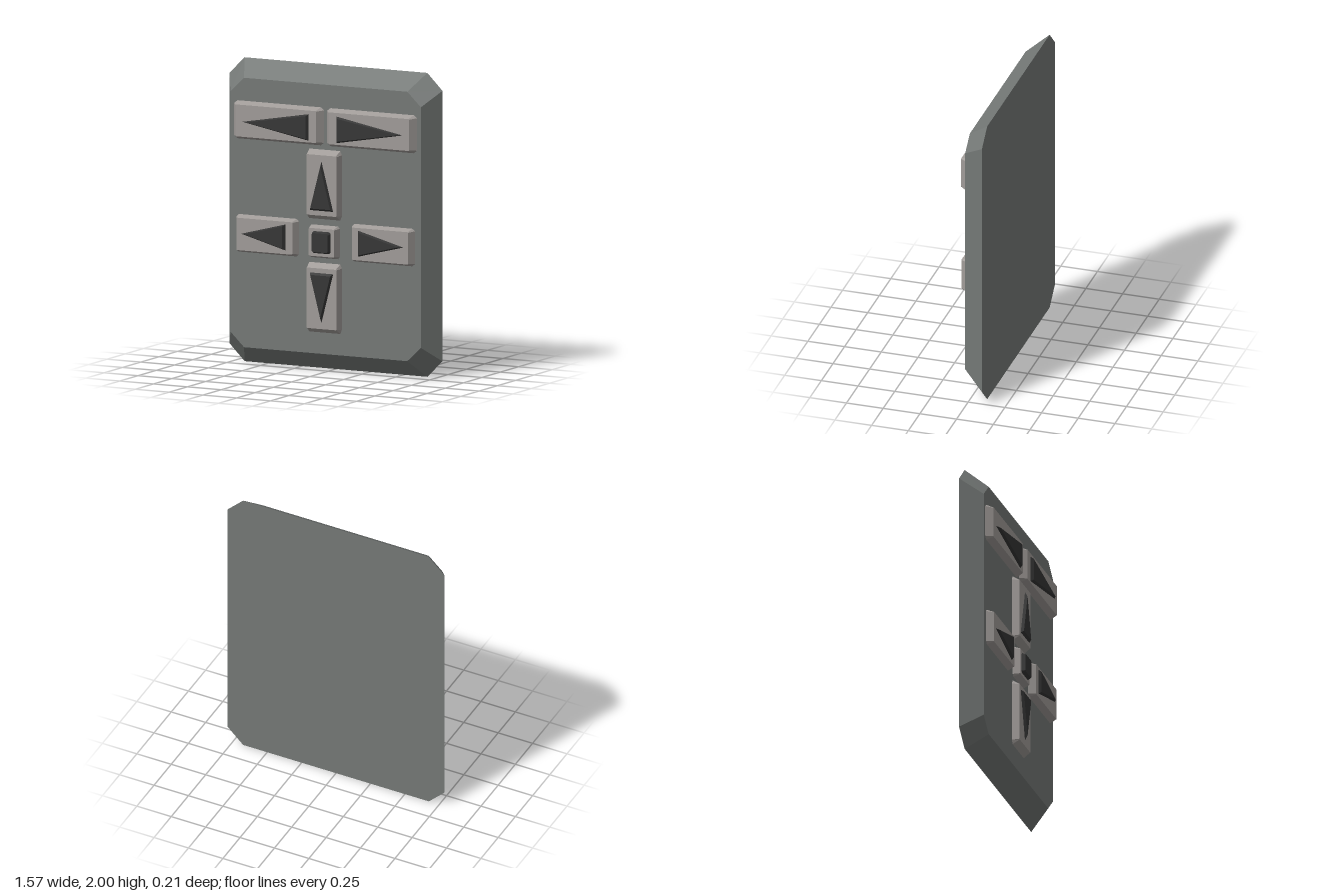
import * as THREE from 'three';

const paint = (color) => new THREE.MeshStandardMaterial({ color, flatShading: true });

// Rectangle with cut corners, counter-clockwise
function octagon(x0, x1, y0, y1, cx, cy) {
  return [
    [x0 + cx, y0], [x1 - cx, y0], [x1, y0 + cy], [x1, y1 - cy],
    [x1 - cx, y1], [x0 + cx, y1], [x0, y1 - cy], [x0, y0 + cy],
  ];
}

// Solid joining a rear outline to a front outline with flat facets
function bevelled(name, rear, front, z0, z1, material) {
  const pos = [];
  const n = rear.length;
  const B = (i) => [...rear[i % n], z0];
  const F = (i) => [...front[i % n], z1];
  for (let i = 0; i < n; i++) {
    pos.push(...B(i), ...B(i + 1), ...F(i + 1), ...B(i), ...F(i + 1), ...F(i));
    if (i > 0 && i < n - 1) {
      pos.push(...F(0), ...F(i), ...F(i + 1), ...B(0), ...B(i + 1), ...B(i));
    }
  }
  const geo = new THREE.BufferGeometry();
  geo.setAttribute('position', new THREE.Float32BufferAttribute(pos, 3));
  geo.computeVertexNormals();
  const mesh = new THREE.Mesh(geo, material);
  mesh.name = name;
  return mesh;
}

export function createModel() {
  const model = new THREE.Group();
  model.name = 'controlPanel';
  const bodyMat = paint(0x747876);
  const keyMat = paint(0xa09b98);
  const darkMat = paint(0x353535);
  const FACE = 0.035, KEY = 0.082, TOP = 0.1;

  // Back plate with wide bevels
  model.add(bevelled('panel',
    octagon(-0.787, 0.787, 0, 2, 0.112, 0.11),
    octagon(-0.703, 0.703, 0.117, 1.89, 0.1, 0.095),
    -0.106, FACE, bodyMat));

  // Keys: outer bounds, inset of the raised face, arrow direction, tip and base
  const midX = -0.006;
  const keys = [
    { name: 'topLeft', box: [0.01, 0.677, 1.488, 1.74], inset: [0.036, 0.021], dir: [1, 0], at: [0.105, 1.608], len: 0.49, half: 0.088 },
    { name: 'topRight', box: [-0.677, -0.01, 1.488, 1.74], inset: [0.036, 0.021], dir: [-1, 0], at: [-0.1, 1.608], len: 0.493, half: 0.088 },
    { name: 'up', box: [-0.132, 0.12, 1.003, 1.463], inset: [0.016, 0.031], dir: [0, 1], at: [midX, 1.065], len: 0.328, half: 0.087 },
    { name: 'down', box: [-0.132, 0.12, 0.257, 0.717], inset: [0.016, 0.031], dir: [0, -1], at: [midX, 0.656], len: 0.33, half: 0.087 },
    { name: 'left', box: [0.195, 0.66, 0.743, 0.992], inset: [0.026, 0.018], dir: [1, 0], at: [0.265, 0.871], len: 0.335, half: 0.086 },
    { name: 'right', box: [-0.66, -0.195, 0.743, 0.992], inset: [0.026, 0.018], dir: [-1, 0], at: [-0.272, 0.871], len: 0.328, half: 0.086 },
    { name: 'centre', box: [-0.117, 0.105, 0.748, 0.965], inset: [0.017, 0.017] },
  ];

  // Triangle pointing along dir, its base centred on at
  const triangle = ([dx, dy], [x, y], base, len, half) => [
    [x + dx * len, y + dy * len],
    [x + dx * base - dy * half, y + dy * base + dx * half],
    [x + dx * base + dy * half, y + dy * base - dx * half],
  ];

  for (const k of keys) {
    const [x0, x1, y0, y1] = k.box;
    const [ix, iy] = k.inset;
    const group = new THREE.Group();
    group.name = k.name + 'Key';
    group.add(bevelled('keyCap',
      octagon(x0, x1, y0, y1, ix * 0.7, iy * 0.9),
      octagon(x0 + ix, x1 - ix, y0 + iy, y1 - iy, 0.004, 0.004),
      FACE - 0.002, KEY, keyMat));
    if (k.dir) {
      group.add(bevelled('arrow',
        triangle(k.dir, k.at, 0, k.len, k.half),
        triangle(k.dir, k.at, 0.014, k.len - 0.035, k.half - 0.013),
        KEY - 0.001, TOP, darkMat));
    } else {
      // Square stud on the centre key
      group.add(bevelled('stud',
        octagon(-0.075, 0.063, 0.785, 0.93, 0.012, 0.012),
        octagon(-0.065, 0.053, 0.795, 0.92, 0.008, 0.008),
        KEY - 0.001, 0.106, darkMat));
    }
    model.add(group);
  }
  return model;
}
